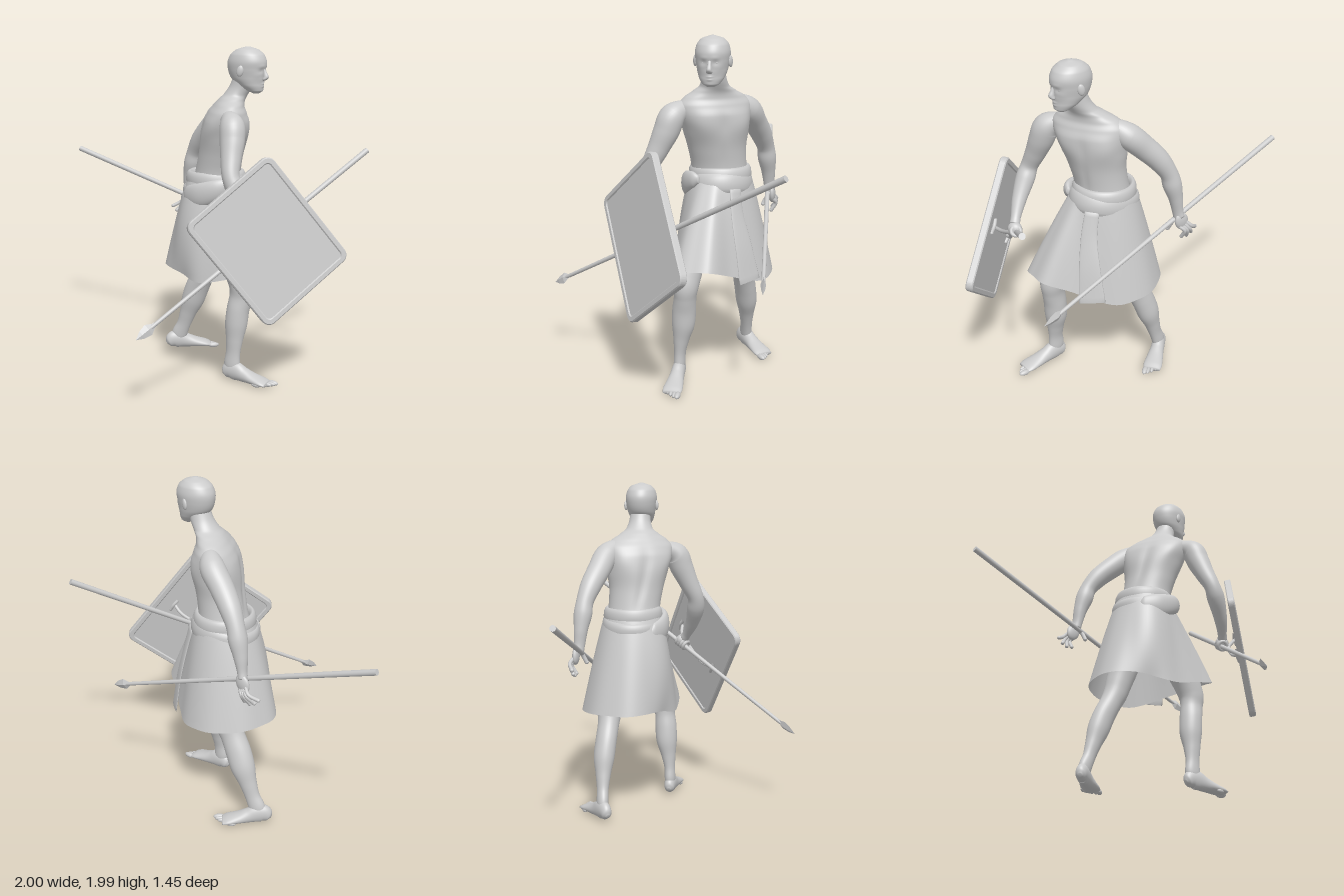
import * as THREE from 'three';

const V = (x, y, z) => new THREE.Vector3(x, y, z);
const grey = new THREE.MeshStandardMaterial({ color: 0xcccccc });
const cloth = new THREE.MeshStandardMaterial({ color: 0xcccccc, side: THREE.DoubleSide });
const UP = V(0, 1, 0);
const rad = THREE.MathUtils.degToRad;
const level = (y, at, w) => Math.exp(-(((y - at) / w) ** 2));
const bump = (a, at, width) => level(Math.atan2(Math.sin(a - at), Math.cos(a - at)), 0, width);

function add(parent, name, geo, mat = grey) {
  const m = new THREE.Mesh(geo, mat);
  m.name = name;
  parent.add(m);
  return m;
}

// Smooth grid of rows; each row is a closed loop of points
function skin(rows, capped) {
  const n = rows[0].length, pos = [], idx = [];
  rows.forEach(r => r.forEach(p => pos.push(p.x, p.y, p.z)));
  for (let i = 0; i < rows.length - 1; i++)
    for (let j = 0; j < n; j++) {
      const a = i * n + j, b = i * n + (j + 1) % n;
      idx.push(a, b, b + n, a, b + n, a + n);
    }
  if (capped) [0, rows.length - 1].forEach((k, e) => {
    const c = rows[k].reduce((s, p) => s.add(p), V(0, 0, 0)).divideScalar(n);
    const ci = pos.length / 3;
    pos.push(c.x, c.y, c.z);
    for (let j = 0; j < n; j++) {
      const a = k * n + j, b = k * n + (j + 1) % n;
      e ? idx.push(a, b, ci) : idx.push(b, a, ci);
    }
  });
  const g = new THREE.BufferGeometry();
  g.setAttribute('position', new THREE.Float32BufferAttribute(pos, 3));
  g.setIndex(idx);
  g.computeVertexNormals();
  return g;
}

// Sections [x, y, z, front radius, side radius, yaw]; rings lie flat or square to the path
function loft(sections, { flat = false, up = false, yaw = 0, steps = 6, sides = 36, shape } = {}) {
  const path = new THREE.CatmullRomCurve3(sections.map(s => V(s[0], s[1], s[2])));
  const size = new THREE.CatmullRomCurve3(sections.map(s => V(s[3], s[4] ?? s[3], s[5] ?? yaw)), false, 'catmullrom', 0.4);
  const rows = [], total = (sections.length - 1) * steps;
  for (let i = 0; i <= total; i++) {
    const t = i / total, c = path.getPoint(t), s = size.getPoint(t), w = rad(s.z);
    const T = flat ? UP.clone() : path.getTangent(t);
    const A = up ? UP.clone() : V(Math.cos(w), 0, -Math.sin(w));
    A.addScaledVector(T, -A.dot(T)).normalize();
    const B = T.clone().cross(A), row = [];
    for (let j = 0; j < sides; j++) {
      const a = j / sides * Math.PI * 2, k = shape ? shape(a, c.y) : 1;
      row.push(c.clone().addScaledVector(A, s.x * k * Math.cos(a)).addScaledVector(B, s.y * k * Math.sin(a)));
    }
    rows.push(row);
  }
  return skin(rows, true);
}

function blob(parent, name, p, s, yaw = 0, roll = 0) {
  const m = add(parent, name, new THREE.SphereGeometry(1, 20, 14));
  m.position.set(...p);
  m.scale.set(...s);
  m.rotation.set(0, rad(yaw), rad(roll));
}

function tube(parent, name, pts, r) {
  const curve = new THREE.CatmullRomCurve3(pts.map(p => V(...p)));
  add(parent, name, new THREE.TubeGeometry(curve, 16, r, 8));
  blob(parent, name + 'Tip', pts[pts.length - 1], [r, r, r]);
}

function buildHead(g) {
  // [y, back x, front x, half width], with eye sockets, cheekbones and lips pushed into the rings
  const rows = [[1.722, .375, .415, .022], [1.737, .34, .434, .048], [1.77, .285, .438, .07], [1.81, .237, .442, .083],
    [1.86, .218, .449, .092], [1.9, .216, .453, .095], [1.94, .232, .438, .086], [1.97, .268, .403, .062], [1.988, .325, .35, .012]];
  const face = (a, y) => {
    const both = (at, w) => bump(a, at, w) + bump(a, -at, w);
    return 1 - .045 * level(y, 1.852, .014) * both(.36, .2) + .02 * level(y, 1.877, .011) * both(.3, .25)
      + .025 * level(y, 1.825, .02) * both(.65, .25) + .03 * level(y, 1.735, .014) * bump(a, 0, .35)
      + .06 * (level(y, 1.777, .006) + level(y, 1.762, .006)) * bump(a, 0, .22);
  };
  add(g, 'head', loft(rows.map(([y, b, f, w]) => [(b + f) / 2, y, -.265, (f - b) / 2, w]), { flat: true, sides: 72, steps: 10, shape: face }));
  const nose = [[.44, 1.872, .006, .01], [.447, 1.845, .012, .011], [.454, 1.818, .018, .015], [.449, 1.803, .014, .018], [.442, 1.795, .005, .01]];
  add(g, 'nose', loft(nose.map(([x, y, a, b]) => [x, y, -.265, a, b]).reverse(), { flat: true, sides: 16 }));
  for (const s of [-1, 1]) {
    blob(g, 'eye', [.424, 1.852, -.265 + s * .034], [.011, .007, .014], -s * 15);
    blob(g, 'ear', [.335, 1.852, -.265 + s * .095], [.02, .032, .011], s * 20, -10);
  }
}

function buildTorso(g) {
  // Spine groove, chest, breastbone and shoulder blades
  const muscles = (a, y) => {
    const back = level(y, 1.42, .17), chest = level(y, 1.5, .07);
    return 1 - .1 * back * bump(a, Math.PI, .18) - .05 * chest * bump(a, 0, .15)
      + .07 * chest * (bump(a, .6, .38) + bump(a, -.6, .38)) - .04 * level(y, 1.3, .12) * bump(a, 0, .12)
      + .07 * level(y, 1.52, .08) * (bump(a, 2.4, .35) + bump(a, -2.4, .35));
  };
  add(g, 'torso', loft([[.13, 1, -.28, .14, .165, 10], [.135, 1.15, -.28, .148, .164, 15], [.148, 1.25, -.275, .138, .158, 20],
    [.168, 1.35, -.267, .138, .166, 25], [.188, 1.46, -.262, .144, .19, 30], [.205, 1.55, -.257, .136, .21, 32],
    [.212, 1.605, -.256, .114, .213, 32], [.222, 1.645, -.257, .092, .178, 31], [.24, 1.68, -.26, .08, .122, 28],
    [.264, 1.71, -.264, .072, .082, 18], [.295, 1.76, -.267, .067, .066, 5], [.318, 1.83, -.265, .06, .06, 0]],
  { flat: true, sides: 64, shape: muscles }));
}

function buildArms(g) {
  add(g, 'rightArm', loft([[.25, 1.585, -.16, .03], [.308, 1.58, -.095, .052], [.35, 1.545, -.047, .073], [.366, 1.47, -.018, .072],
    [.381, 1.37, .026, .06], [.402, 1.275, .066, .05], [.435, 1.205, .062, .055], [.5, 1.1, .03, .042], [.55, 1.02, -.01, .029],
    [.57, .99, -.03, .03]].reverse(), { yaw: 20 }));
  add(g, 'leftArm', loft([[.18, 1.59, -.33, .03], [.132, 1.595, -.388, .054], [.08, 1.555, -.43, .071], [-.005, 1.475, -.457, .068],
    [-.085, 1.39, -.487, .062], [-.142, 1.3, -.51, .051], [-.163, 1.23, -.517, .054], [-.187, 1.14, -.525, .041],
    [-.2, 1.06, -.53, .029, .033], [-.208, 1.02, -.535, .028, .033]].reverse(), { yaw: 30 }));

  // Open left hand resting on its spear
  blob(g, 'leftPalm', [-.217, .995, -.548], [.044, .056, .02], 0, -22);
  [[-.322, .925], [-.294, .898], [-.262, .885], [-.226, .89]].forEach(([x, y], i) =>
    tube(g, 'leftFinger', [[-.238 + i * .013, .99 - i * .008, -.55], [(x - .225) / 2, (y + .985) / 2, -.57], [x, y, -.545]], .0115));
  tube(g, 'leftThumb', [[-.2, 1.02, -.535], [-.168, .99, -.522], [-.158, .945, -.5]], .0125);

  // Right fist closed round the other spear
  const dir = V(.76, .89, -1.44).normalize();
  blob(g, 'rightPalm', [.578, .972, -.045], [.034, .04, .042], 40);
  for (let i = 0; i < 4; i++) {
    const f = add(g, 'rightFinger', new THREE.TorusGeometry(.026, .0115, 8, 20));
    f.quaternion.setFromUnitVectors(V(0, 0, 1), dir);
    f.position.set(.574, .956, -.045).addScaledVector(dir, (i - 1.5) * .021);
  }
}

// Foot along local +x with the ankle over the origin
function buildFoot(g, name, x, z, yaw, side) {
  const foot = new THREE.Group();
  foot.name = name;
  foot.position.set(x, 0, z);
  foot.rotation.y = rad(yaw);
  add(foot, 'footBody', loft([[-.066, .036, 0, .012, .012], [-.052, .044, 0, .038, .029], [-.02, .06, 0, .055, .036], [.02, .06, 0, .058, .039],
    [.07, .047, 0, .045, .042], [.13, .034, 0, .032, .05], [.19, .024, 0, .022, .056], [.225, .017, 0, .013, .05]], { up: true }));
  for (let i = 0; i < 5; i++)
    blob(foot, 'toe', [.242 - i * i * .0035 - i * .004, .015, side * (.038 - i * .02)], [.036 - i * .002, i ? .0135 : .016, i ? .0115 : .017]);
  g.add(foot);
}

function buildLegs(g) {
  add(g, 'rightLeg', loft([[.355, .055, -.088, .036, .028], [.35, .1, -.089, .05, .034], [.354, .17, -.092, .045, .034], [.358, .25, -.1, .052, .046],
    [.362, .35, -.113, .067, .066], [.37, .44, -.119, .068, .068], [.384, .52, -.127, .07, .064], [.388, .585, -.131, .078, .073],
    [.368, .65, -.137, .083, .08], [.3, .8, -.155, .1, .094], [.2, 1.03, -.19, .1, .09]]));
  add(g, 'leftLeg', loft([[-.205, .055, -.405, .036, .028], [-.195, .1, -.407, .05, .034], [-.165, .17, -.412, .045, .035], [-.137, .25, -.415, .053, .045],
    [-.1, .35, -.417, .073, .062], [-.065, .44, -.413, .076, .063], [-.02, .53, -.408, .072, .064], [.012, .595, -.407, .078, .072],
    [.035, .67, -.403, .084, .08], [.07, .8, -.392, .097, .092], [.1, 1.03, -.36, .1, .09]], { yaw: 25 }));
  buildFoot(g, 'rightFoot', .36, -.088, 0, -1);
  buildFoot(g, 'leftFoot', -.212, -.4, 40, 1);
}

function buildCloth(g) {
  // Skirt flaring from the waist to an uneven hem, gathered and bulging on the right
  const hem = new THREE.CatmullRomCurve3([[.56, .73, -.2], [.54, .71, -.1], [.34, .645, -.03], [.15, .6, -.02], [-.02, .63, -.085], [-.15, .635, -.16],
    [-.2, .63, -.27], [-.175, .63, -.41], [-.08, .62, -.53], [.1, .61, -.59], [.25, .6, -.54], [.42, .67, -.4], [.56, .73, -.3]].map(p => V(...p)), true);
  const rows = [], n = 96, steps = 20;
  for (let i = 0; i <= steps; i++) {
    const t = 1 - i / steps, row = [];
    for (let j = 0; j < n; j++) {
      const h = hem.getPoint(1 - j / n), a = Math.atan2(h.z + .29, h.x - .12);
      const top = V(.13 + .165 * Math.cos(a), 1.22, -.28 + .165 * Math.sin(a));
      const k = Math.pow(t, .88), fold = .003 * t * Math.sin(9 * a) + .16 * t * (1 - t) * bump(a, 2, .5);
      row.push(V(top.x + (h.x - top.x) * k + fold * Math.cos(a), top.y + (h.y - top.y) * t, top.z + (h.z - top.z) * k + fold * Math.sin(a)));
    }
    rows.push(row);
  }
  add(g, 'skirt', skin(rows, false), cloth);

  // Rolled waist sash, its second turn slung at a tilt
  [[1.195, .16, .023, 2.3, .03, 0], [1.135, .18, .028, 2.2, .2, .06]].forEach(([y, r, w, tall, tilt, lean]) => {
    const sash = add(g, 'sash', new THREE.TorusGeometry(r, w, 12, 64).rotateX(Math.PI / 2));
    sash.scale.set(1, tall, w > .025 ? .9 : .98);
    sash.rotation.set(lean, 0, tilt);
    sash.position.set(.13, y, -.28);
  });

  // Thick fold bunched over the right hip
  add(g, 'hipFold', loft([[-.005, 1.1, -.155, .025, .015], [.02, 1.1, -.13, .06, .025], [.11, 1.115, -.098, .072, .034], [.22, 1.155, -.107, .062, .032],
    [.29, 1.185, -.155, .045, .025], [.31, 1.19, -.19, .02, .012]], { up: true }));

  // Loose end of the sash lying on the skirt
  add(g, 'sashEnd', loft([[.29, 1.14, -.39, .012, .04], [.325, 1, -.41, .009, .045], [.35, .82, -.452, .007, .06], [.36, .63, -.49, .006, .075]],
    { yaw: 50, sides: 20 }));
}

function buildSpear(g, name, tip, butt, turn) {
  const a = V(...tip), b = V(...butt), len = a.distanceTo(b), spear = new THREE.Group();
  spear.name = name;
  spear.position.copy(b);
  spear.quaternion.setFromUnitVectors(UP, a.sub(b).normalize());
  add(spear, 'shaft', new THREE.CylinderGeometry(.011, .017, len - .11, 14).translate(0, (len - .11) / 2, 0));
  const leaf = [[.01, -.15], [.014, -.125], [.034, -.09], [.024, -.045], [0, 0]].map(([r, y]) => new THREE.Vector2(r, y + len));
  const blade = add(spear, 'blade', new THREE.LatheGeometry(leaf, 4).toNonIndexed());
  blade.geometry.computeVertexNormals();
  blade.scale.z = .45;
  blade.rotation.y = rad(turn);
  g.add(spear);
}

function roundedRect(w, h, r, Type = THREE.Shape) {
  const s = new Type(), x = w / 2, y = h / 2;
  [[x, y, 0], [-x, y, 90], [-x, -y, 180], [x, -y, 270]].forEach(([cx, cy, a]) =>
    s.absarc(cx - Math.sign(cx) * r, cy - Math.sign(cy) * r, r, rad(a), rad(a + 90), false));
  return s;
}

function buildShield(g) {
  const shield = new THREE.Group();
  shield.name = 'shield';
  const u = V(.534, -.78, -.329).normalize(), v = V(.553, .586, -.595);
  v.addScaledVector(u, -v.dot(u)).normalize();
  shield.setRotationFromMatrix(new THREE.Matrix4().makeBasis(u, v, u.clone().cross(v)));
  shield.position.set(.633, .932, .057);
  const W = .757, H = .624, rim = roundedRect(W - .012, H - .012, .045);
  rim.holes.push(roundedRect(W - .055, H - .055, .03, THREE.Path));
  add(shield, 'rim', new THREE.ExtrudeGeometry(rim, { depth: .03, bevelSize: .006, bevelThickness: .006, bevelSegments: 1, curveSegments: 5 }).translate(0, 0, -.015));
  add(shield, 'panel', new THREE.ExtrudeGeometry(roundedRect(W - .04, H - .04, .04), { depth: .028, bevelEnabled: false, curveSegments: 5 }).translate(0, 0, -.014));
  // Arched grip and its fixing bars on the back
  tube(shield, 'grip', [[0, -.2, -.01], [.01, -.14, -.05], [0, 0, -.07], [.01, .14, -.05], [0, .2, -.01]], .011);
  for (const s of [-1, 1]) tube(shield, 'gripBar', [[-.04, s * .2, -.018], [0, s * .205, -.024], [.04, s * .2, -.018]], .011);
  g.add(shield);
}

export function createModel() {
  const g = new THREE.Group();
  g.name = 'spearman';
  buildHead(g);
  buildTorso(g);
  buildArms(g);
  buildLegs(g);
  buildCloth(g);
  buildSpear(g, 'leftSpear', [.75, .7, -.605], [-.995, 1.27, -.45], 0);
  buildSpear(g, 'rightSpear', [.17, .475, .715], [.925, 1.365, -.72], 90);
  buildShield(g);
  return g;
}
